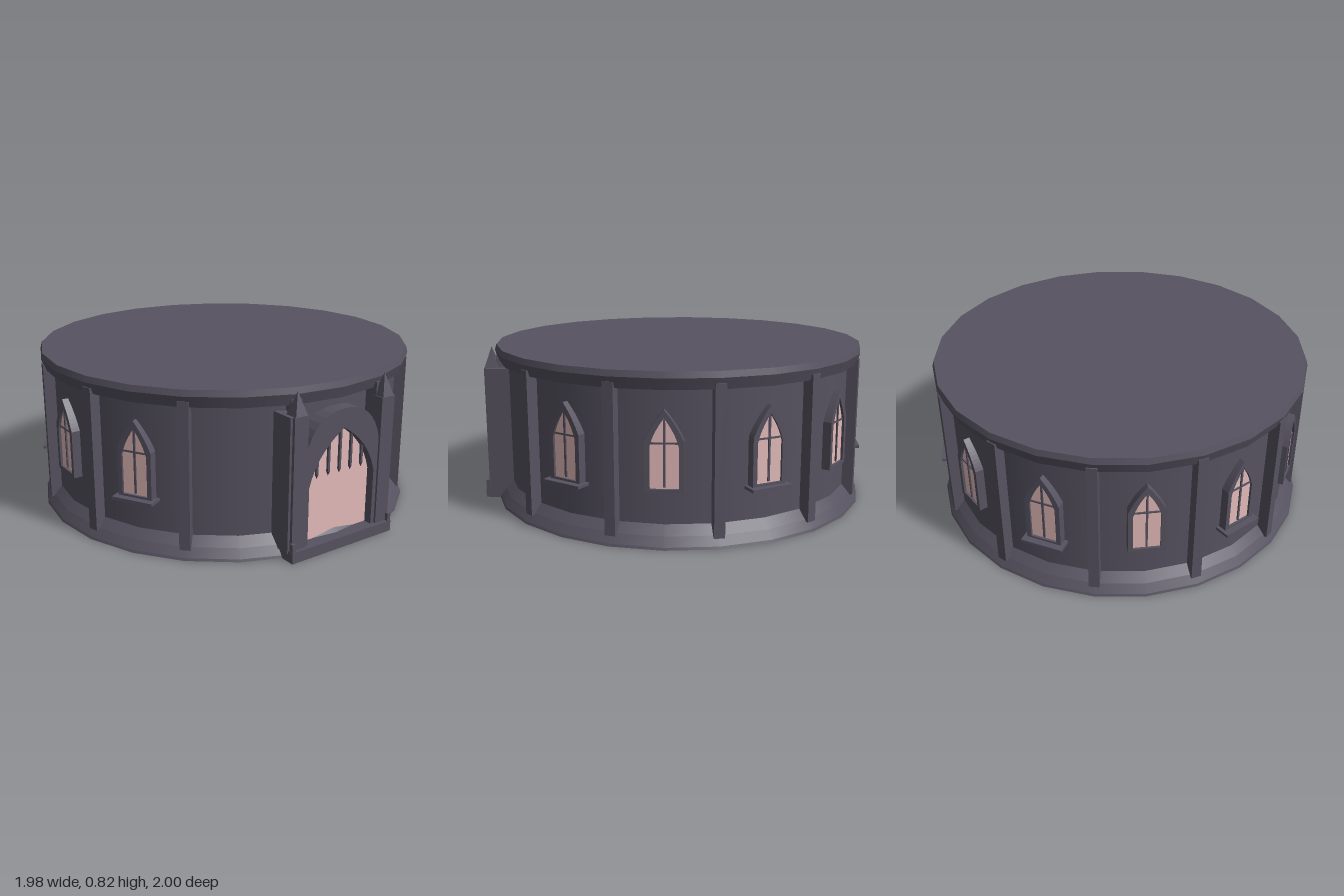
import * as THREE from 'three';

const SIDES = 24;
const CENTRE_Z = -0.01;
const WALL = 0.919;

export function createModel() {
  const stone = new THREE.MeshStandardMaterial({ color: 0x565260 });
  stone.name = 'dark stone';
  const glass = new THREE.MeshStandardMaterial({ color: 0xe2bab8 });
  glass.name = 'rose glass';

  const model = new THREE.Group();
  model.name = 'roundHall';
  const drum = new THREE.Group();
  drum.name = 'drum';
  drum.position.z = CENTRE_Z;
  model.add(drum);

  const add = (parent, name, geometry, material = stone) => {
    const mesh = new THREE.Mesh(geometry, material);
    mesh.name = name;
    parent.add(mesh);
    return mesh;
  };

  // Box given by its extents on each axis
  const box = (parent, name, x0, x1, y0, y1, z0, z1) => {
    const mesh = add(parent, name, new THREE.BoxGeometry(x1 - x0, y1 - y0, z1 - z0));
    mesh.position.set((x0 + x1) / 2, (y0 + y1) / 2, (z0 + z1) / 2);
    return mesh;
  };

  // Upright outline with a pointed or round top; (cx, cy) pulls the curve outward
  const archPath = (path, half, bottom, spring, apex, cx, cy) => {
    path.moveTo(-half, bottom);
    path.lineTo(half, bottom);
    path.lineTo(half, spring);
    path.quadraticCurveTo(cx, cy, 0, apex);
    path.quadraticCurveTo(-cx, cy, -half, spring);
    path.closePath();
    return path;
  };

  const extrude = (shape, z0, z1) => {
    const geometry = new THREE.ExtrudeGeometry(shape, {
      depth: z1 - z0, bevelEnabled: false, curveSegments: 8,
    });
    geometry.translate(0, 0, z0);
    return geometry;
  };

  // Recessed wall, flared plinth and cornice: [name, lower radius, upper radius, y0, y1]
  [
    ['plinthFoot', 0.99, 0.985, 0, 0.012],
    ['plinthSlope', 0.985, 0.957, 0.012, 0.055],
    ['plinthTop', 0.957, WALL, 0.055, 0.1],
    ['wall', WALL, WALL, 0.1, 0.74],
    ['corniceUnderside', WALL, 0.957, 0.733, 0.735],
    ['corniceFlare', 0.957, 0.976, 0.735, 0.79],
    ['corniceRim', 0.976, 0.968, 0.79, 0.82],
  ].forEach(([name, r0, r1, y0, y1]) => {
    const ring = add(drum, name, new THREE.CylinderGeometry(r1, r0, y1 - y0, SIDES, 1, true));
    ring.position.y = (y0 + y1) / 2;
  });

  // Flat roof and floor discs, with a corner on the z axis
  const roof = add(drum, 'roof', new THREE.CircleGeometry(0.968, SIDES, Math.PI / 2));
  roof.rotation.x = -Math.PI / 2;
  roof.position.y = 0.82;
  const floor = add(drum, 'floor', new THREE.CircleGeometry(0.99, SIDES, Math.PI / 2));
  floor.rotation.x = Math.PI / 2;

  // Twelve ribs dividing the wall into bays
  for (let i = 0; i < 12; i++) {
    const bay = new THREE.Group();
    bay.name = 'rib';
    bay.rotation.y = THREE.MathUtils.degToRad(15 + 30 * i);
    box(bay, 'ribShaft', -0.026, 0.026, 0.045, 0.765, 0.88, 0.972);
    drum.add(bay);
  }

  // Pointed windows; every other one has a projecting sill
  const frameShape = archPath(new THREE.Shape(), 0.089, 0.26, 0.5, 0.645, 0.058, 0.575);
  frameShape.holes.push(archPath(new THREE.Path(), 0.066, 0.277, 0.475, 0.607, 0.05, 0.54));
  const frameGeometry = extrude(frameShape, 0.89, 0.951);
  const paneGeometry = new THREE.ShapeGeometry(
    archPath(new THREE.Shape(), 0.068, 0.275, 0.475, 0.609, 0.051, 0.541), 8);
  for (let angle = 60; angle <= 300; angle += 30) {
    const win = new THREE.Group();
    win.name = 'window';
    win.rotation.y = THREE.MathUtils.degToRad(angle);
    add(win, 'windowFrame', frameGeometry);
    add(win, 'windowPane', paneGeometry, glass).position.z = 0.939;
    box(win, 'mullion', -0.005, 0.005, 0.285, 0.6, 0.935, 0.946);
    box(win, 'transom', -0.066, 0.066, 0.486, 0.494, 0.935, 0.945);
    if (angle % 60 === 0) box(win, 'windowSill', -0.106, 0.106, 0.252, 0.267, 0.9, 0.984);
    drum.add(win);
  }

  // Entrance: step, arch, glowing doorway and hanging bars
  const portal = new THREE.Group();
  portal.name = 'portal';
  model.add(portal);
  box(portal, 'step', -0.31, 0.31, 0, 0.055, 0.8, 1);
  const archShape = archPath(new THREE.Shape(), 0.224, 0.05, 0.5, 0.69, 0.18, 0.69);
  archShape.holes.push(archPath(new THREE.Path(), 0.2, 0.055, 0.34, 0.595, 0.16, 0.5));
  add(portal, 'doorArch', extrude(archShape, 0.86, 0.972));
  const doorShape = archPath(new THREE.Shape(), 0.203, 0.055, 0.34, 0.597, 0.162, 0.502);
  add(portal, 'doorway', new THREE.ShapeGeometry(doorShape, 8), glass).position.z = 0.93;
  [[-0.137, 0.5], [-0.068, 0.57], [0, 0.596], [0.068, 0.57], [0.137, 0.5]].forEach(([x, top]) => {
    box(portal, 'doorBar', x - 0.006, x + 0.006, 0.385, top, 0.941, 0.953);
    const tip = add(portal, 'doorBarTip', new THREE.ConeGeometry(0.0085, 0.02, 4));
    tip.rotation.set(Math.PI, Math.PI / 4, 0);
    tip.position.set(x, 0.375, 0.947);
  });

  // Flanking pillars with pinnacles and small corner posts
  [-1, 1].forEach((side) => {
    const pillar = new THREE.Group();
    pillar.name = 'pillar';
    pillar.position.x = side * 0.262;
    box(pillar, 'pillarShaft', -0.04, 0.04, 0.04, 0.7, 0.83, 0.982);
    const buttress = box(pillar, 'buttress', -0.025, 0.025, 0.04, 0.7, 0.83, 0.967);
    buttress.position.x = side * 0.028;
    const pinnacle = add(pillar, 'pinnacle', new THREE.ConeGeometry(0.034 * Math.SQRT2, 0.11, 4)
      .rotateY(Math.PI / 4).toNonIndexed());
    pinnacle.geometry.computeVertexNormals();
    pinnacle.position.set(0, 0.755, 0.947);
    const post = box(pillar, 'cornerPost', -0.01, 0.01, 0.04, 0.095, 0.975, 0.998);
    post.position.x = side * 0.037;
    portal.add(pillar);
  });

  return model;
}
